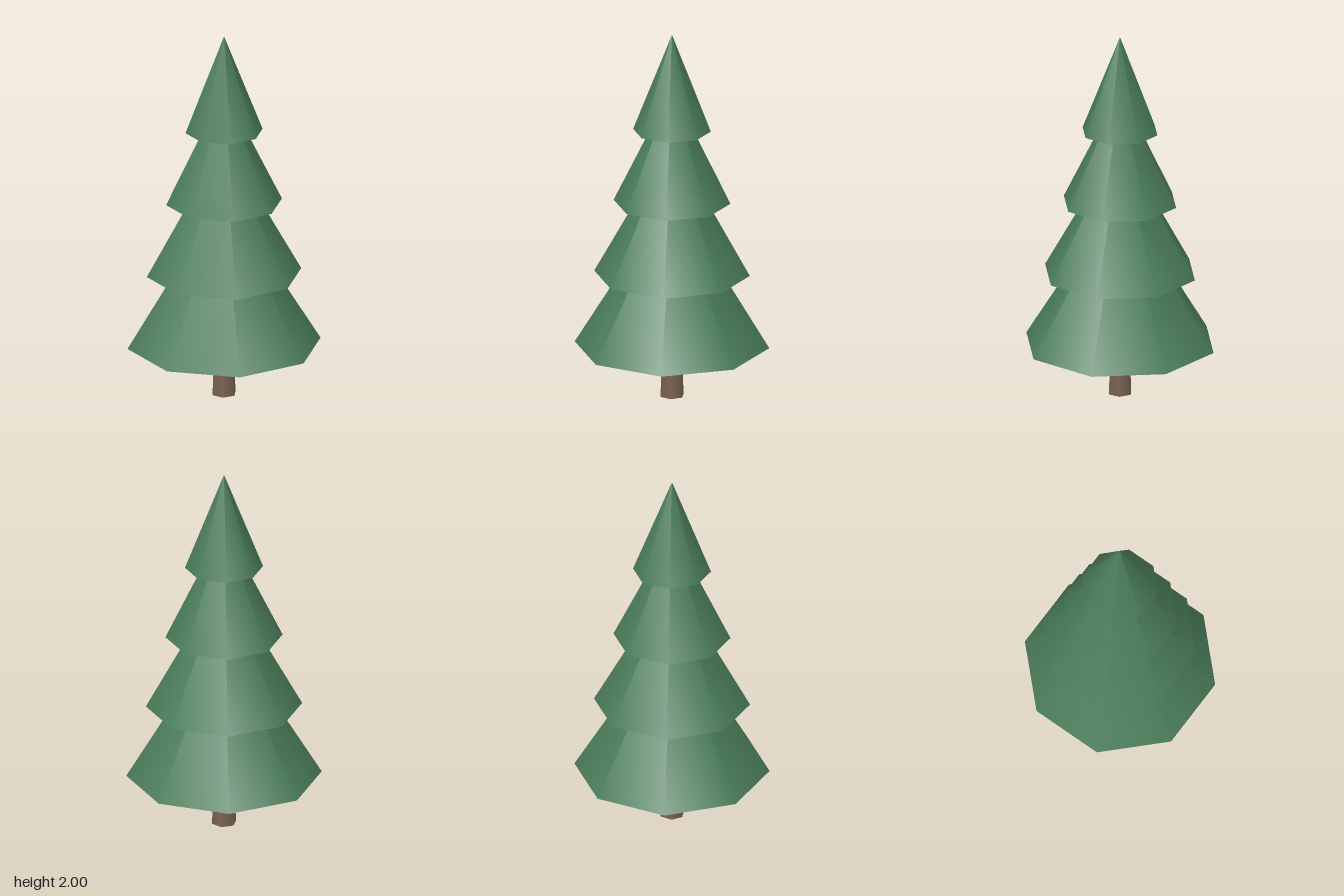
import * as THREE from 'three';

export function createModel() {
  const tree = new THREE.Group();
  tree.name = 'pineTree';

  const needles = new THREE.MeshStandardMaterial({ color: 0x4a7c59, side: THREE.DoubleSide });
  needles.name = 'needle green';
  const bark = new THREE.MeshStandardMaterial({ color: 0x7a6250 });
  bark.name = 'bark brown';

  // Six-sided tapering trunk, corners on the x axis
  const trunkHeight = 0.62;
  const trunk = new THREE.Mesh(new THREE.CylinderGeometry(0.046, 0.066, trunkHeight, 6), bark);
  trunk.name = 'trunk';
  trunk.rotation.y = Math.PI / 6;
  trunk.position.y = trunkHeight / 2;
  tree.add(trunk);

  // Four hollow eight-sided tiers, shrinking evenly towards the tip
  for (let i = 0; i < 4; i++) {
    const radius = 0.513 - i * 0.1027;
    const height = 0.84 - i * 0.1033;
    const base = 0.28 + i * 0.3967;
    const tier = new THREE.Mesh(new THREE.ConeGeometry(radius, height, 8, 1, true), needles);
    tier.name = `foliageTier${i + 1}`;
    tier.position.y = base + height / 2;
    tree.add(tier);
  }

  return tree;
}
